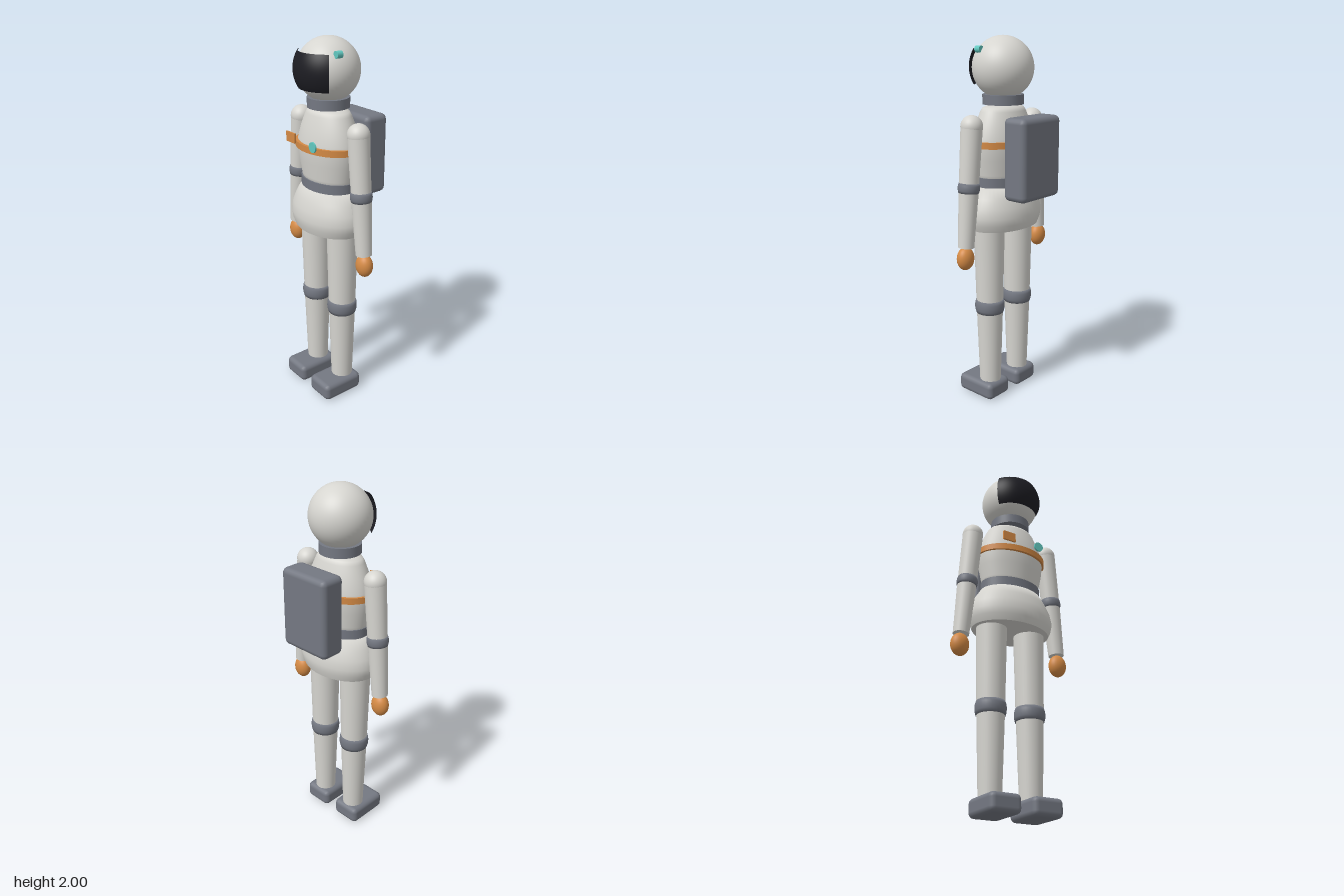
import * as THREE from 'three';
import { RoundedBoxGeometry } from 'three/addons/geometries/RoundedBoxGeometry.js';

const CZ = 0.045; // depth of the body axis

export function createModel() {
  const root = new THREE.Group();
  root.name = 'astronaut';

  const material = (name, color, side = THREE.FrontSide) => {
    const m = new THREE.MeshStandardMaterial({ color, side });
    m.name = name;
    return m;
  };
  const suit = material('suit white', 0xd6d5d0);
  const grey = material('equipment grey', 0x747882);
  const orange = material('trim orange', 0xd48a45);
  const teal = material('light teal', 0x62c8c0);
  const dark = material('visor black', 0x1d1d23, THREE.DoubleSide);

  const add = (name, geometry, mat, x = 0, y = 0, z = CZ, parent = root) => {
    const mesh = new THREE.Mesh(geometry, mat);
    mesh.name = name;
    mesh.position.set(x, y, z);
    parent.add(mesh);
    return mesh;
  };

  // Turned body section, flattened front to back; points run bottom to top
  const turned = (name, points, mat, depth) => {
    const profile = points.map(([r, y]) => new THREE.Vector2(r, y));
    const mesh = add(name, new THREE.LatheGeometry(profile, 48), mat);
    mesh.scale.z = depth;
    return mesh;
  };

  // Tapered cylinder between two points in the x-y plane
  const limb = (name, [x0, y0], [x1, y1], r0, r1, mat, parent) => {
    const length = Math.hypot(x1 - x0, y1 - y0);
    const mesh = add(name, new THREE.CylinderGeometry(r0, r1, length, 32), mat,
      (x0 + x1) / 2, (y0 + y1) / 2, CZ, parent);
    mesh.rotation.z = Math.atan2(x1 - x0, y0 - y1);
    return mesh;
  };

  // Bulging joint band
  const band = (name, r, h, x, y, parent) => {
    const points = [[0, -h / 2], [r * 0.92, -h / 2], [r * 0.98, -h / 4], [r, 0],
      [r * 0.98, h / 4], [r * 0.92, h / 2], [0, h / 2]];
    return add(name, new THREE.LatheGeometry(points.map((p) => new THREE.Vector2(...p)), 32),
      grey, x, y, CZ, parent);
  };

  // Helmet, visor and lamp
  add('helmet', new THREE.SphereGeometry(0.163, 48, 32), suit, 0, 1.837);
  const halfWidth = 0.94, halfHeight = 0.54;
  add('visor', new THREE.SphereGeometry(0.178, 32, 16, Math.PI / 2 - halfWidth, halfWidth * 2,
    Math.PI / 2 - halfHeight, halfHeight * 2), dark, 0, 1.841);
  const lamp = add('helmetLamp', new THREE.CylinderGeometry(0.018, 0.018, 0.033, 20), teal, 0.135, 1.93, 0.088);
  lamp.rotation.x = Math.PI / 2;
  add('neckRing', new THREE.CylinderGeometry(0.11, 0.11, 0.052, 40), grey, 0, 1.675);

  // Torso, hips and belts
  turned('torso', [[0, 1.24], [0.165, 1.24], [0.172, 1.29], [0.188, 1.37], [0.197, 1.44], [0.194, 1.48],
    [0.172, 1.55], [0.143, 1.615], [0.13, 1.633], [0.1, 1.645], [0, 1.648]], suit, 0.7);
  turned('hips', [[0, 0.995], [0.222, 0.995], [0.222, 0.995], [0.238, 1.03], [0.246, 1.07], [0.235, 1.12],
    [0.212, 1.17], [0.178, 1.225], [0, 1.23]], suit, 0.71);
  const chestStripe = add('chestStripe', new THREE.CylinderGeometry(0.206, 0.206, 0.034, 48), orange, 0, 1.452);
  chestStripe.scale.z = 0.74;
  const belt = add('waistBelt', new THREE.CylinderGeometry(0.175, 0.175, 0.052, 48), grey, 0, 1.25);
  belt.scale.z = 0.72;

  // Chest controls
  add('chestPanel', new THREE.BoxGeometry(0.074, 0.052, 0.009), orange, -0.099, 1.494, 0.212);
  const dial = add('chestDial', new THREE.CylinderGeometry(0.027, 0.027, 0.009, 28), teal, 0.088, 1.484, 0.212);
  dial.rotation.x = Math.PI / 2;

  // Backpack
  add('backpack', new RoundedBoxGeometry(0.306, 0.43, 0.142, 2, 0.03), grey, 0, 1.385, -0.156);

  for (const [side, s] of [['left', 1], ['right', -1]]) {
    // Arm
    const arm = new THREE.Group();
    arm.name = side + 'Arm';
    root.add(arm);
    add('shoulder', new THREE.SphereGeometry(0.058, 32, 20), suit, s * 0.24, 1.553, CZ, arm);
    limb('upperArm', [s * 0.24, 1.555], [s * 0.268, 1.24], 0.057, 0.052, suit, arm);
    limb('forearm', [s * 0.268, 1.24], [s * 0.296, 0.925], 0.053, 0.043, suit, arm);
    band('elbowBand', 0.058, 0.052, s * 0.268, 1.24, arm).rotation.z = s * 0.089;
    const glove = add('glove', new THREE.SphereGeometry(1, 28, 20), orange, s * 0.301, 0.865, CZ, arm);
    glove.scale.set(0.051, 0.063, 0.042);

    // Leg
    const leg = new THREE.Group();
    leg.name = side + 'Leg';
    root.add(leg);
    const x = s * 0.116;
    limb('thigh', [x, 1.0], [x, 0.55], 0.084, 0.074, suit, leg);
    limb('shin', [x, 0.55], [x, 0.08], 0.074, 0.059, suit, leg);
    band('kneeBand', 0.083, 0.074, x, 0.547, leg);
    add('boot', new RoundedBoxGeometry(0.17, 0.098, 0.248, 2, 0.028), grey, x, 0.049, 0.093, leg);
  }
  return root;
}
